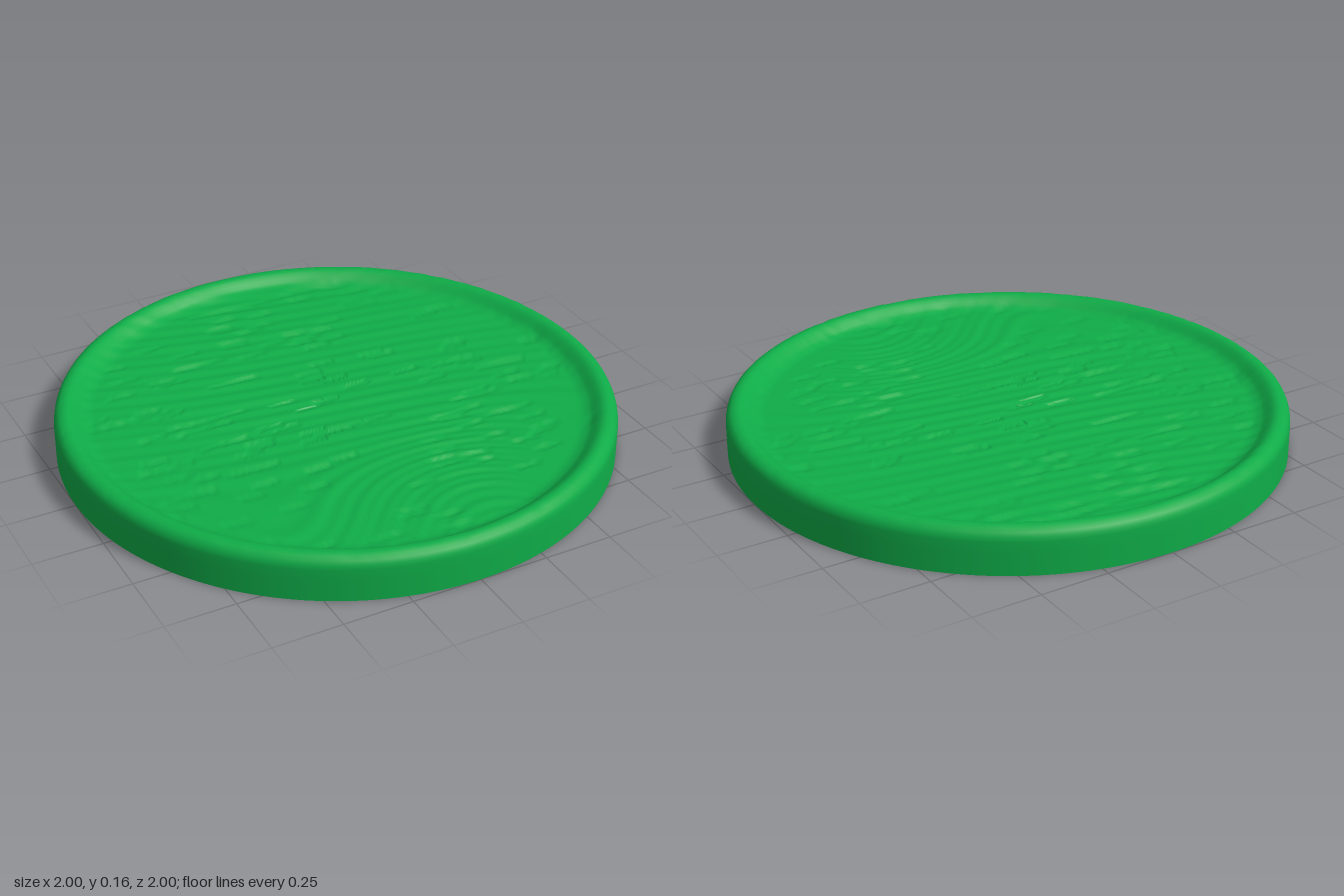
import * as THREE from 'three';
import { mergeVertices } from 'three/addons/utils/BufferGeometryUtils.js';

const SEGMENTS = 300;
const FLOOR_R = 0.88;

// Repeatable pseudo-random value for a grid cell
function hash(i, j) {
  const s = Math.sin(i * 127.1 + j * 311.7) * 43758.5453;
  return s - Math.floor(s);
}

// Wood-grain height: slanted ridges that curl near the front, plus short pores
function grain(x, z) {
  const curl = THREE.MathUtils.smoothstep(z, 0.2, 0.75);
  const across = z - 0.2 * x + 0.025 * Math.sin(3 * x + 2 * z)
    + curl * 0.3 * Math.sin(4.5 * x + 0.8);
  const ridges = 0.0022 * Math.sin(across * 95) + 0.0012 * Math.sin(across * 41 + 1);
  const row = Math.floor(z / 0.024);
  const col = Math.floor((x + hash(row, 3) * 0.1) / 0.1);
  return ridges - (hash(col, row) > 0.86 ? 0.005 : 0);
}

// Turned surface: side wall, rounded rim, hollow slope and floor
function trayGeometry() {
  const wall = [
    [1, 0], [1, 0.04], [1, 0.08], [1, 0.12], [0.997, 0.135], [0.99, 0.149],
    [0.978, 0.159], [0.962, 0.164], [0.948, 0.163], [0.935, 0.157],
    [0.922, 0.147], [0.91, 0.137], [0.898, 0.129], [FLOOR_R, 0.124],
  ].map(([r, y]) => new THREE.Vector2(r, y));
  const rings = 78;
  for (let i = 1; i <= rings; i++) {
    wall.push(new THREE.Vector2(FLOOR_R * (1 - i / rings), 0.122));
  }
  const lathe = new THREE.LatheGeometry(wall, SEGMENTS);
  lathe.deleteAttribute('uv');
  lathe.deleteAttribute('normal');
  const geometry = mergeVertices(lathe, 1e-5);

  // Carve the grain, fading it out over the rim
  const p = geometry.attributes.position;
  for (let i = 0; i < p.count; i++) {
    const x = p.getX(i), z = p.getZ(i);
    const r = Math.hypot(x, z);
    const fade = 1 - 0.75 * THREE.MathUtils.smoothstep(r, 0.87, 0.93);
    if (r < 0.985) p.setY(i, p.getY(i) + grain(x, z) * fade);
  }
  geometry.computeVertexNormals();
  return geometry;
}

export function createModel() {
  const group = new THREE.Group();
  group.name = 'roundTray';
  const green = new THREE.MeshStandardMaterial({ color: 0x0fac48 });
  green.name = 'green';

  const tray = new THREE.Mesh(trayGeometry(), green);
  tray.name = 'grainedTray';
  group.add(tray);

  // Flat underside
  const base = new THREE.Mesh(new THREE.CircleGeometry(1, SEGMENTS), green);
  base.name = 'underside';
  base.rotation.x = Math.PI / 2;
  group.add(base);

  return group;
}
